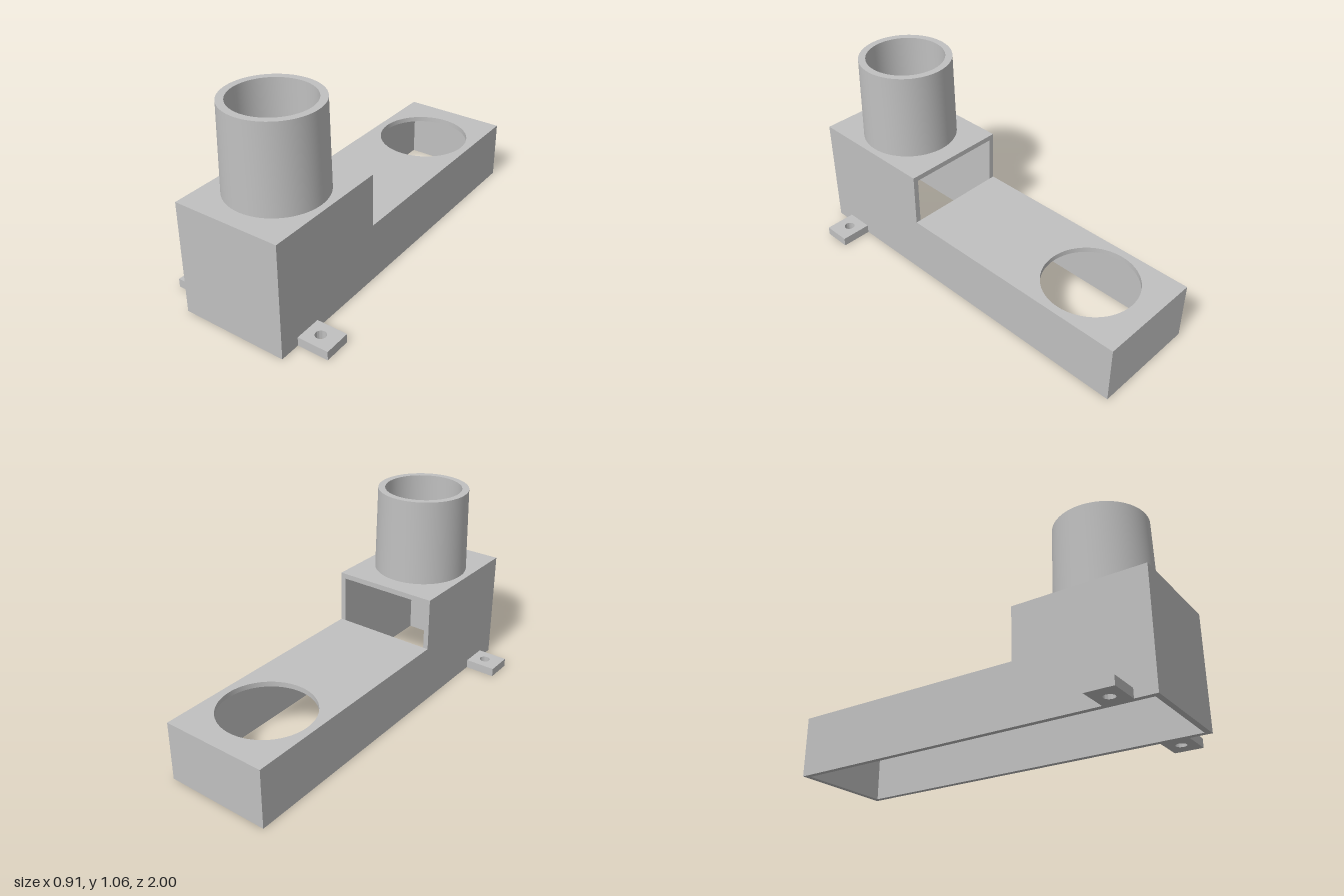
import * as THREE from 'three';
import { toCreasedNormals } from 'three/addons/utils/BufferGeometryUtils.js';

const HALF_W = 0.288, WALL = 0.028;
const HEIGHT = 0.605, DECK = 0.32, STEP_Z = 0.3;
const SPOUT_Z = 0.65, BORE = 0.206;

export function createModel() {
  const model = new THREE.Group();
  model.name = 'ductAdapter';
  const grey = new THREE.MeshStandardMaterial({ color: 0xc0c0c0 });
  grey.name = 'plainGrey';

  const add = (name, geometry, x = 0, y = 0, z = 0) => {
    const mesh = new THREE.Mesh(geometry, grey);
    mesh.name = name;
    mesh.position.set(x, y, z);
    model.add(mesh);
    return mesh;
  };

  // Horizontal plate from x0..x1 and z0..z1 with one round hole
  const plate = (x0, x1, z0, z1, thick, hx, hz, r) => {
    const shape = new THREE.Shape([
      new THREE.Vector2(x0, -z1), new THREE.Vector2(x1, -z1),
      new THREE.Vector2(x1, -z0), new THREE.Vector2(x0, -z0),
    ]);
    shape.holes.push(new THREE.Path().absarc(hx, -hz, r, 0, Math.PI * 2, true));
    const g = new THREE.ExtrudeGeometry(shape, { depth: thick, bevelEnabled: false, curveSegments: 32 });
    g.rotateX(-Math.PI / 2);
    return toCreasedNormals(g, 0.6);
  };

  // L-shaped side walls
  const profile = new THREE.Shape([
    [-1, 0], [1, 0], [1, DECK], [-STEP_Z, DECK], [-STEP_Z, HEIGHT], [-1, HEIGHT],
  ].map(([a, y]) => new THREE.Vector2(a, y)));
  const side = new THREE.ExtrudeGeometry(profile, { depth: WALL, bevelEnabled: false });
  side.rotateY(Math.PI / 2);
  add('leftWall', side, HALF_W - WALL);
  add('rightWall', side, -HALF_W);

  // End walls; the bottom and the back of the tall box stay open
  const inner = HALF_W - WALL;
  add('frontWall', new THREE.BoxGeometry(inner * 2, HEIGHT, WALL), 0, HEIGHT / 2, 1 - WALL / 2);
  add('backWall', new THREE.BoxGeometry(inner * 2, DECK, WALL), 0, DECK / 2, -1 + WALL / 2);

  // Low deck and high roof, each with its round opening
  add('deck', plate(-inner, inner, -1 + WALL, STEP_Z, WALL, 0, -0.64, 0.246), 0, DECK - WALL);
  add('roof', plate(-inner, inner, STEP_Z, 1 - WALL, WALL, 0, SPOUT_Z, BORE), 0, HEIGHT - WALL);

  // Tapered spout with a straight bore
  const spout = new THREE.LatheGeometry([
    [BORE, HEIGHT], [0.253, HEIGHT], [0.243, 1.06], [BORE, 1.06], [BORE, HEIGHT],
  ].map(([r, y]) => new THREE.Vector2(r, y)), 64);
  add('spout', toCreasedNormals(spout, 0.6), 0, 0, SPOUT_Z);

  // Mounting tabs with screw holes
  for (const [name, s] of [['leftTab', 1], ['rightTab', -1]]) {
    const a = s * HALF_W, b = s * 0.455;
    add(name, plate(Math.min(a, b), Math.max(a, b), 0.745, 0.89, 0.047, s * 0.362, 0.817, 0.028));
  }
  return model;
}
